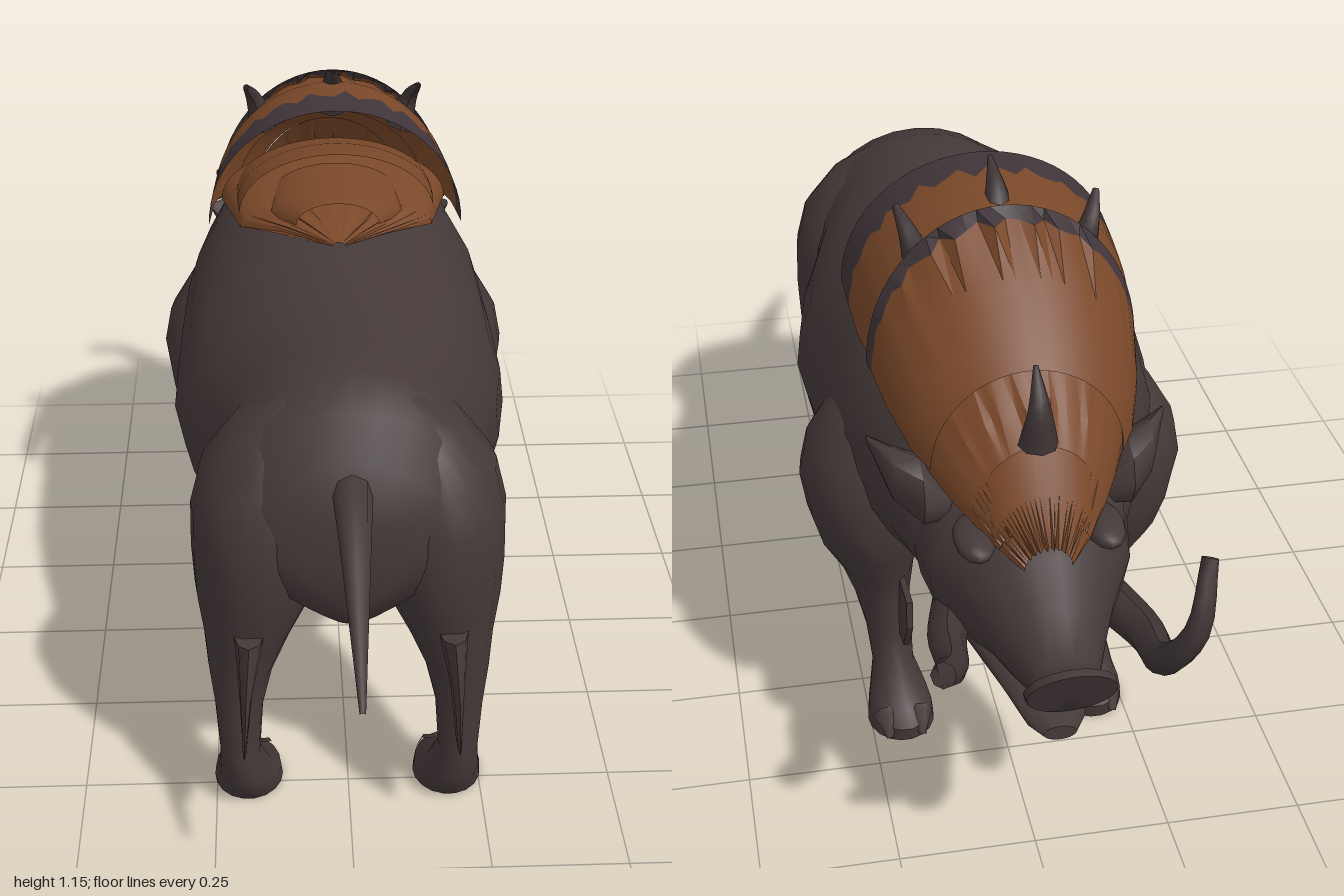
import * as THREE from 'three';
import { toCreasedNormals } from 'three/addons/utils/BufferGeometryUtils.js';

const mat = (name, color, side = THREE.FrontSide) => {
  const m = new THREE.MeshStandardMaterial({ color, side });
  m.name = name;
  return m;
};

// Indexed triangles -> geometry; closed solids are wound outwards by signed volume
function build(pos, idx, closed) {
  if (closed) {
    let vol = 0;
    const v = i => new THREE.Vector3().fromArray(pos, i * 3);
    for (let i = 0; i < idx.length; i += 3)
      vol += v(idx[i]).dot(v(idx[i + 1]).cross(v(idx[i + 2])));
    if (vol < 0) idx.reverse();
  }
  const g = new THREE.BufferGeometry();
  g.setAttribute('position', new THREE.Float32BufferAttribute(pos, 3));
  g.setIndex(idx);
  return g;
}

// Closed solid from elliptical rings [t, c1, c2, r1, r2] stacked along an axis
function loft(axis, rings, { seg = 18, taper = 0, shear = () => 0 } = {}) {
  const pos = [], idx = [];
  const put = (t, a, b) => pos.push(...(axis === 'z' ? [a, b, t] : axis === 'y' ? [a, t, b] : [t, a, b]));
  rings.forEach(([t, c1, c2, r1, r2]) => {
    for (let j = 0; j < seg; j++) {
      const a = (j / seg) * Math.PI * 2, s = Math.sin(a);
      const narrow = 1 - taper * Math.max(0, -s) ** 2;
      put(t - shear(t) * s * r2, c1 + Math.cos(a) * r1 * narrow, c2 + s * r2);
    }
  });
  const n = rings.length;
  for (let i = 0; i < n - 1; i++) for (let j = 0; j < seg; j++) {
    const a = i * seg + j, b = i * seg + (j + 1) % seg;
    idx.push(a, b, a + seg, b, b + seg, a + seg);
  }
  const c = n * seg;
  put(rings[0][0], rings[0][1], rings[0][2]);
  put(rings[n - 1][0], rings[n - 1][1], rings[n - 1][2]);
  for (let j = 0; j < seg; j++) {
    const k = (j + 1) % seg;
    idx.push(c, k, j, c + 1, c - seg + j, c - seg + k);
  }
  return toCreasedNormals(build(pos, idx, true), 1.0);
}

// Arched sheet over the back from rows [z, halfWidth, top, bottom, jag]
function arch(rows, seg = 32) {
  const pos = [], idx = [];
  rows.forEach(([z, w, top, bottom, jag = 0]) => {
    for (let j = 0; j <= seg; j++) {
      const a = (j / seg) * Math.PI;
      const wob = jag * (Math.sin(j * 2.4) + Math.sin(j * 4.1) * 0.6);
      pos.push(w * Math.cos(a), bottom + (top - bottom) * Math.sin(a), z + wob);
    }
  });
  for (let i = 0; i < rows.length - 1; i++) for (let j = 0; j < seg; j++) {
    const a = i * (seg + 1) + j, b = a + seg + 1;
    idx.push(a, b, a + 1, a + 1, b, b + 1);
  }
  return toCreasedNormals(build(pos, idx, false), 0.5);
}

// Tapered curved spike
function spike(points, r0, r1 = 0.002, rings = 10, sides = 8) {
  const curve = new THREE.CatmullRomCurve3(points.map(p => new THREE.Vector3(...p)));
  const g = new THREE.TubeGeometry(curve, rings, 1, sides, false);
  const p = g.attributes.position, v = new THREE.Vector3();
  for (let i = 0; i < p.count; i++) {
    const u = Math.floor(i / (sides + 1)) / rings, c = curve.getPointAt(u);
    v.fromBufferAttribute(p, i).sub(c).multiplyScalar(r0 + (r1 - r0) * u).add(c);
    p.setXYZ(i, v.x, v.y, v.z);
  }
  g.computeVertexNormals();
  return g;
}

// Thin upright tuft from a (z, y) outline
function fin(points, x, t = 0.02) {
  const shape = new THREE.Shape(points.map(p => new THREE.Vector2(...p)));
  return new THREE.ExtrudeGeometry(shape, { depth: t, bevelEnabled: false })
    .rotateY(-Math.PI / 2).translate(x + t / 2, 0, 0);
}

export function createModel() {
  const root = new THREE.Group();
  root.name = 'boar';
  const skin = mat('dark skin', 0x453939);
  const hide = mat('brown hide', 0x7a4829, THREE.DoubleSide);
  const hem = mat('dark hide edge', 0x40353a, THREE.DoubleSide);
  const horn = mat('horn', 0x3e3434, THREE.DoubleSide);
  const add = (name, geo, m) => {
    const mesh = new THREE.Mesh(geo, m);
    mesh.name = name;
    root.add(mesh);
  };
  const tb = ([z, w, top, bot]) => [z, 0, (top + bot) / 2, w, (top - bot) / 2];

  // Trunk: z, half width, top, bottom
  add('body', loft('z', [
    [0.65, 0.08, 0.68, 0.5], [0.62, 0.18, 0.77, 0.45], [0.56, 0.225, 0.84, 0.42],
    [0.46, 0.24, 0.87, 0.38], [0.36, 0.25, 0.87, 0.33], [0.2, 0.3, 0.872, 0.285],
    [0.05, 0.325, 0.895, 0.256], [-0.1, 0.32, 0.93, 0.256], [-0.25, 0.31, 0.965, 0.27],
    [-0.38, 0.285, 0.96, 0.3], [-0.5, 0.23, 0.9, 0.34], [-0.58, 0.19, 0.79, 0.365], [-0.66, 0.14, 0.69, 0.39],
  ].map(tb), { seg: 28, taper: 0.55 }), skin);

  // Head, snout and jaw
  add('head', loft('z', [
    [-0.5, 0.18, 0.8, 0.39], [-0.58, 0.19, 0.76, 0.385], [-0.66, 0.175, 0.72, 0.39], [-0.72, 0.145, 0.7, 0.41],
    [-0.78, 0.115, 0.665, 0.435], [-0.85, 0.085, 0.615, 0.45], [-0.91, 0.062, 0.575, 0.465],
    [-0.945, 0.06, 0.58, 0.475], [-0.955, 0.076, 0.6, 0.48], [-0.972, 0.074, 0.598, 0.483],
  ].map(tb), { shear: z => (z < -0.9 ? 0.45 : 0) }), skin);
  add('jaw', loft('z', [
    [-0.5, 0, 0.43, 0.14, 0.07], [-0.65, 0, 0.42, 0.115, 0.045], [-0.78, 0, 0.408, 0.075, 0.026],
    [-0.87, 0, 0.4, 0.05, 0.02], [-0.905, 0, 0.4, 0.028, 0.014],
  ]), skin);
  add('tail', spike([[0, 0.73, 0.58], [0, 0.705, 0.7], [0, 0.635, 0.85], [0, 0.553, 1]], 0.038, 0.005, 14), skin);

  // Leg rings: y, x, z, half width, half depth
  const hindLeg = [
    [0.83, 0.1, 0.47, 0.02, 0.04], [0.78, 0.125, 0.47, 0.075, 0.1], [0.7, 0.145, 0.475, 0.115, 0.145],
    [0.62, 0.155, 0.475, 0.125, 0.165], [0.53, 0.16, 0.475, 0.122, 0.168],
    [0.45, 0.17, 0.475, 0.108, 0.155], [0.37, 0.185, 0.495, 0.08, 0.115], [0.3, 0.198, 0.515, 0.06, 0.085],
    [0.22, 0.203, 0.535, 0.044, 0.056], [0.12, 0.203, 0.545, 0.037, 0.045], [0.06, 0.195, 0.525, 0.05, 0.06],
    [0.03, 0.19, 0.485, 0.062, 0.085], [0, 0.19, 0.475, 0.065, 0.075],
  ];
  const foreLeg = [
    [0.76, 0.2, -0.3, 0.02, 0.04], [0.7, 0.222, -0.3, 0.075, 0.1], [0.62, 0.235, -0.3, 0.11, 0.135],
    [0.55, 0.237, -0.295, 0.122, 0.148],
    [0.47, 0.232, -0.285, 0.115, 0.152], [0.4, 0.228, -0.275, 0.1, 0.14], [0.33, 0.218, -0.27, 0.072, 0.105],
    [0.26, 0.21, -0.28, 0.054, 0.075], [0.18, 0.2, -0.295, 0.044, 0.055], [0.1, 0.195, -0.31, 0.04, 0.05],
    [0.05, 0.19, -0.34, 0.055, 0.075], [0.03, 0.19, -0.365, 0.062, 0.085], [0, 0.19, -0.37, 0.065, 0.075],
  ];
  const hockTuft = [[0.2, 0.193, 0.63, 0.004, 0.05], [0.32, 0.188, 0.63, 0.012, 0.055], [0.425, 0.18, 0.615, 0.026, 0.04]];
  for (const s of [1, -1]) {
    const side = s > 0 ? 'left' : 'right';
    const mirror = rings => rings.map(([y, x, ...r]) => [y, x * s, ...r]);
    add(side + 'HindLeg', loft('y', mirror(hindLeg)), skin);
    add(side + 'ForeLeg', loft('y', mirror(foreLeg)), skin);
    // Toes
    for (const z of [0.45, -0.4]) for (const dx of [-0.032, 0.032])
      add(side + 'Toe', spike([[s * 0.19 + dx, 0.03, z], [s * 0.19 + dx, 0.025, z - 0.03], [s * 0.19 + dx, 0.012, z - 0.048]], 0.026, 0.006, 4, 6), skin);
    // Fur tufts behind hocks and around elbows
    add(side + 'HockTuft', loft('y', mirror(hockTuft), { seg: 8 }), skin);
    add(side + 'ElbowTuft', fin([[-0.18, 0.27], [-0.09, 0.32], [-0.07, 0.45], [-0.15, 0.46]], s * 0.22, 0.02), skin);
    add(side + 'ChestTuft', fin([[-0.13, 0.3], [-0.15, 0.22], [-0.28, 0.17], [-0.4, 0.2], [-0.45, 0.28], [-0.45, 0.34]], s * 0.18, 0.012), skin);
    // Ears and brows
    add(side + 'Ear', loft('x', [
      [0.13, 0.67, -0.6, 0.03, 0.03], [0.18, 0.695, -0.59, 0.062, 0.062],
      [0.225, 0.715, -0.56, 0.05, 0.045], [0.26, 0.76, -0.52, 0.006, 0.006],
    ].map(([x, ...r]) => [x * s, ...r]), { seg: 8 }), skin);
    add(side + 'Brow', new THREE.SphereGeometry(1, 12, 8).scale(0.035, 0.022, 0.065).translate(s * 0.11, 0.672, -0.715), skin);
    // Side spikes of the hump
    add(side + 'HumpSpike', spike([[s * 0.14, 1.0, -0.37], [s * 0.158, 1.06, -0.365], [s * 0.175, 1.1, -0.33]], 0.03, 0.006), horn);
  }

  // Tusks: one long and curled, one short
  add('longTusk', spike([[-0.13, 0.47, -0.63], [-0.18, 0.47, -0.76], [-0.18, 0.5, -0.87], [-0.215, 0.6, -0.925], [-0.245, 0.7, -0.87]], 0.042, 0.014, 16), horn);
  add('shortTusk', spike([[0.12, 0.49, -0.62], [0.158, 0.485, -0.73], [0.165, 0.495, -0.82], [0.19, 0.53, -0.88]], 0.042, 0.022, 12), horn);

  // Overlapping hide plates over hump and neck
  add('backPatch', arch([[-0.3, 0.23, 0.985, 0.87], [-0.12, 0.19, 0.95, 0.885], [-0.05, 0.11, 0.93, 0.9, 0.006], [0.025, 0.012, 0.912, 0.905]]), hide);
  add('rearFlap', arch([[-0.2, 0.13, 0.985, 0.915], [-0.1, 0.13, 0.975, 0.915], [-0.03, 0.08, 0.968, 0.925]]), hide);
  add('midFlap', arch([[-0.3, 0.2, 1.0, 0.89], [-0.16, 0.195, 1.042, 0.92], [-0.088, 0.19, 1.046, 0.925]]), hide);
  add('humpPlate', arch([[-0.46, 0.2, 1.0, 0.815], [-0.415, 0.23, 1.09, 0.835, 0.007], [-0.32, 0.246, 1.112, 0.85], [-0.245, 0.25, 1.112, 0.86, 0.014]]), hide);
  add('humpPlateEdge', arch([[-0.245, 0.25, 1.112, 0.86, 0.014], [-0.16, 0.253, 1.108, 0.872]]), hem);
  add('neckPlateEdge', arch([[-0.415, 0.234, 1.096, 0.825, 0.012], [-0.39, 0.24, 1.114, 0.83]]), hem);
  add('neckPlate', arch([[-0.62, 0.165, 0.925, 0.75], [-0.58, 0.19, 0.965, 0.765], [-0.5, 0.218, 1.03, 0.8], [-0.415, 0.234, 1.096, 0.825, 0.012]]), hide);
  add('browPlate', arch([[-0.76, 0.075, 0.72, 0.675, 0.006], [-0.7, 0.115, 0.815, 0.7], [-0.65, 0.145, 0.875, 0.72, 0.004], [-0.595, 0.17, 0.935, 0.74]]), hide);
  add('foreheadPlate', arch([[-0.79, 0.04, 0.69, 0.65, 0.005], [-0.745, 0.085, 0.765, 0.68], [-0.7, 0.1, 0.83, 0.72]]), hide);

  // Spikes along the spine
  add('spineSpike', spike([[0, 1.05, -0.36], [0, 1.11, -0.33], [0, 1.15, -0.27]], 0.034, 0.004), horn);
  add('neckSpike', spike([[0, 0.83, -0.69], [0, 0.9, -0.695], [0, 0.96, -0.66]], 0.034, 0.004), horn);
  return root;
}
